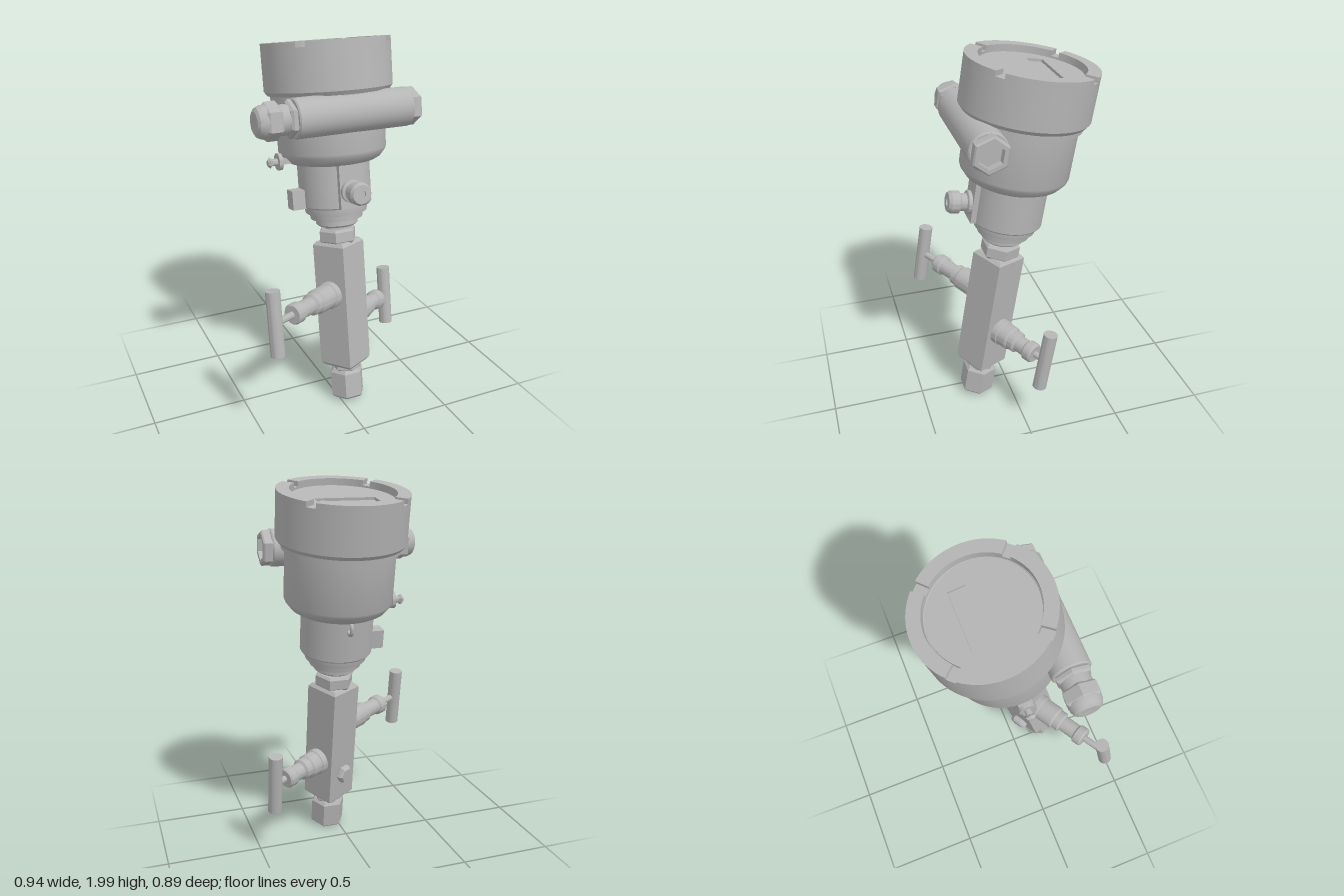
import * as THREE from 'three';
import { toCreasedNormals } from 'three/addons/utils/BufferGeometryUtils.js';

const metal = new THREE.MeshStandardMaterial({ color: 0xb5b5b5 });
metal.name = 'grey metal';

function add(parent, name, geometry, x = 0, y = 0, z = 0) {
  const mesh = new THREE.Mesh(toCreasedNormals(geometry, 0.5), metal);
  mesh.name = name;
  mesh.position.set(x, y, z);
  parent.add(mesh);
  return mesh;
}

// Turned part from [radius, height] pairs; six sides make a hex nut.
function turned(points, sides = 48, twist = 0) {
  const g = new THREE.LatheGeometry(points.map(([r, h]) => new THREE.Vector2(r, h)), sides);
  return g.rotateY(twist);
}

// Hex with chamfered ends.
function hex(r, h0, h1, twist = Math.PI / 6) {
  const c = 0.012;
  return turned([[0, h0], [r - c, h0], [r, h0 + c], [r, h1 - c], [r - c, h1], [0, h1]], 6, twist);
}

function rod(r, h0, h1, sides = 32) {
  return turned([[0, h0], [r, h0], [r, h1], [0, h1]], sides);
}

function box(w, h, d) {
  return new THREE.BoxGeometry(w, h, d);
}

// Needle valve lying along local y, with a T-bar handle.
function valve(parent, name, height, side, end, step, handleAt) {
  const g = new THREE.Group();
  g.name = name;
  g.position.y = height;
  g.rotation.z = -side * Math.PI / 2;
  parent.add(g);
  add(g, 'valveBonnet', turned([
    [0, 0.08], [0.072, 0.08], [0.072, 0.13], [0.066, 0.135], [0.066, step - 0.01], [0.058, step],
    [0.058, step + 0.035], [0.045, step + 0.045], [0.045, end - 0.06], [0.055, end - 0.05],
    [0.055, end - 0.01], [0.048, end], [0, end],
  ]));
  add(g, 'valveStem', rod(0.018, end - 0.01, handleAt, 20));
  add(g, 'valveHandle', rod(0.037, -0.17, 0.17), 0, handleAt, 0).rotation.z = Math.PI / 2;
}

export function createModel() {
  const model = new THREE.Group();
  model.name = 'pressureTransmitter';
  const body = new THREE.Group();
  body.name = 'tiltedAssembly';
  body.position.set(0.055, 0.018, 0.19);
  body.rotation.x = -0.164;
  model.add(body);

  // Bottom compression fitting with an open bore
  add(body, 'bottomNut', turned([
    [0, 0.06], [0.045, 0.06], [0.045, 0], [0.08, 0], [0.095, 0.014],
    [0.095, 0.15], [0.08, 0.168], [0, 0.168],
  ], 6, Math.PI / 6));
  add(body, 'bottomAdapter', hex(0.082, 0.16, 0.21, 0));

  // Manifold block turned about the axis, carrying the two valves
  const manifold = new THREE.Group();
  manifold.name = 'manifold';
  manifold.rotation.y = Math.PI / 6;
  body.add(manifold);
  const a = 0.082;
  const square = new THREE.Shape([[-a, -a], [a, -a], [a, a], [-a, a]].map((p) => new THREE.Vector2(...p)));
  const block = new THREE.ExtrudeGeometry(square, {
    depth: 0.675, bevelEnabled: true, bevelSize: 0.015, bevelThickness: 0.018, bevelSegments: 1,
  });
  add(manifold, 'manifoldBlock', block.rotateX(-Math.PI / 2), 0, 0.21, 0);
  valve(manifold, 'rightValve', 0.45, 1, 0.36, 0.2, 0.43);
  valve(manifold, 'leftValve', 0.62, -1, 0.434, 0.24, 0.566);
  add(manifold, 'ventPlug', hex(0.052, 0.09, 0.135), 0, 0.37, 0).rotation.x = -Math.PI / 2;

  // Connection between block and housing
  add(body, 'topNut', hex(0.104, 0.895, 0.972));
  add(body, 'steppedCollar', turned([
    [0, 0.96], [0.065, 0.96], [0.065, 0.99], [0.1, 0.99], [0.112, 1.0], [0.112, 1.025],
    [0.138, 1.03], [0.142, 1.06], [0.162, 1.065], [0.168, 1.095], [0.168, 1.12], [0, 1.12],
  ], 64));

  // Housing
  add(body, 'housing', turned([
    [0, 1.105], [0.185, 1.105], [0.19, 1.112], [0.19, 1.33], [0.225, 1.338], [0.25, 1.352],
    [0.276, 1.385], [0.281, 1.4], [0.281, 1.66], [0.3, 1.66], [0.3, 1.72], [0, 1.72],
  ], 72));

  // Screw cover with a recessed face
  add(body, 'cover', turned([
    [0.28, 1.69], [0.315, 1.69], [0.33, 1.71], [0.33, 1.923], [0.264, 1.923],
    [0.264, 1.908], [0.257, 1.9], [0.257, 1.69], [0.28, 1.69],
  ], 96));
  const gap = 0.075;
  for (let i = 0; i < 4; i++) {
    const start = Math.PI / 4 + i * Math.PI / 2 + gap;
    const end = start + Math.PI / 2 - 2 * gap;
    const arc = new THREE.Shape();
    arc.absarc(0, 0, 0.33, start, end, false);
    arc.absarc(0, 0, 0.264, end, start, true);
    const g = new THREE.ExtrudeGeometry(arc, { depth: 0.026, bevelEnabled: false, curveSegments: 24 });
    add(body, 'coverRimSegment', g.rotateX(-Math.PI / 2), 0, 1.923, 0);
  }
  const face = new THREE.Shape();
  face.absarc(0, 0, 0.256, 0, Math.PI * 2, false);
  face.holes.push(new THREE.Path([[-0.155, 0.022], [-0.155, 0.108], [0.155, 0.108], [0.155, 0.022]]
    .map((p) => new THREE.Vector2(...p))));
  const faceGeometry = new THREE.ExtrudeGeometry(face, { depth: 0.02, bevelEnabled: false, curveSegments: 48 });
  add(body, 'coverFace', faceGeometry.rotateX(-Math.PI / 2), 0, 1.895, 0);
  add(body, 'displayWindow', box(0.33, 0.008, 0.1), 0, 1.897, -0.065);

  // Cable conduit across the front
  const conduit = new THREE.Group();
  conduit.name = 'conduit';
  conduit.position.set(0, 1.598, 0.253);
  conduit.rotation.z = -Math.PI / 2;
  body.add(conduit);
  add(conduit, 'conduitTube', turned([
    [0, -0.305], [0.092, -0.305], [0.098, -0.298], [0.098, 0.298], [0.092, 0.305], [0, 0.305],
  ]));
  add(conduit, 'blankingPlug', turned([
    [0, 0.3], [0.096, 0.3], [0.096, 0.344], [0.088, 0.352], [0.066, 0.352], [0.066, 0.312], [0, 0.312],
  ], 6, Math.PI / 6));
  add(conduit, 'glandFlange', hex(0.094, -0.34, -0.3));
  add(conduit, 'glandNeck', rod(0.074, -0.385, -0.335));
  add(conduit, 'glandNut', hex(0.094, -0.455, -0.378));
  add(conduit, 'glandDome', turned([
    [0, -0.492], [0.03, -0.5], [0.055, -0.498], [0.07, -0.488], [0.08, -0.465], [0.08, -0.445], [0, -0.445],
  ]));

  // Front boss with a vent cap
  add(body, 'frontPad', box(0.125, 0.225, 0.1), 0, 1.222, 0.157);
  add(body, 'ventCap', turned([
    [0, 0.19], [0.06, 0.19], [0.06, 0.225], [0.046, 0.23], [0.046, 0.262], [0.058, 0.268],
    [0.058, 0.31], [0.048, 0.326], [0.02, 0.326], [0.02, 0.318], [0, 0.318],
  ]), 0, 1.2, 0).rotation.x = Math.PI / 2;

  // Side lug, ground terminal and rear eyelet
  add(body, 'sideLug', box(0.09, 0.1, 0.075), -0.21, 1.155, 0);
  add(body, 'groundBracket', box(0.1, 0.03, 0.07), -0.25, 1.365, 0);
  const terminal = new THREE.Group();
  terminal.name = 'groundTerminal';
  terminal.position.set(0, 1.362, 0);
  terminal.rotation.z = Math.PI / 2;
  body.add(terminal);
  add(terminal, 'terminalWasher', rod(0.044, 0.29, 0.31));
  add(terminal, 'terminalScrew', rod(0.018, 0.2, 0.34, 16));
  add(terminal, 'terminalHead', hex(0.028, 0.335, 0.362));
  add(body, 'rearEyelet', new THREE.TorusGeometry(0.032, 0.01, 12, 32), 0, 1.305, -0.205).rotation.y = Math.PI / 2;

  return model;
}
